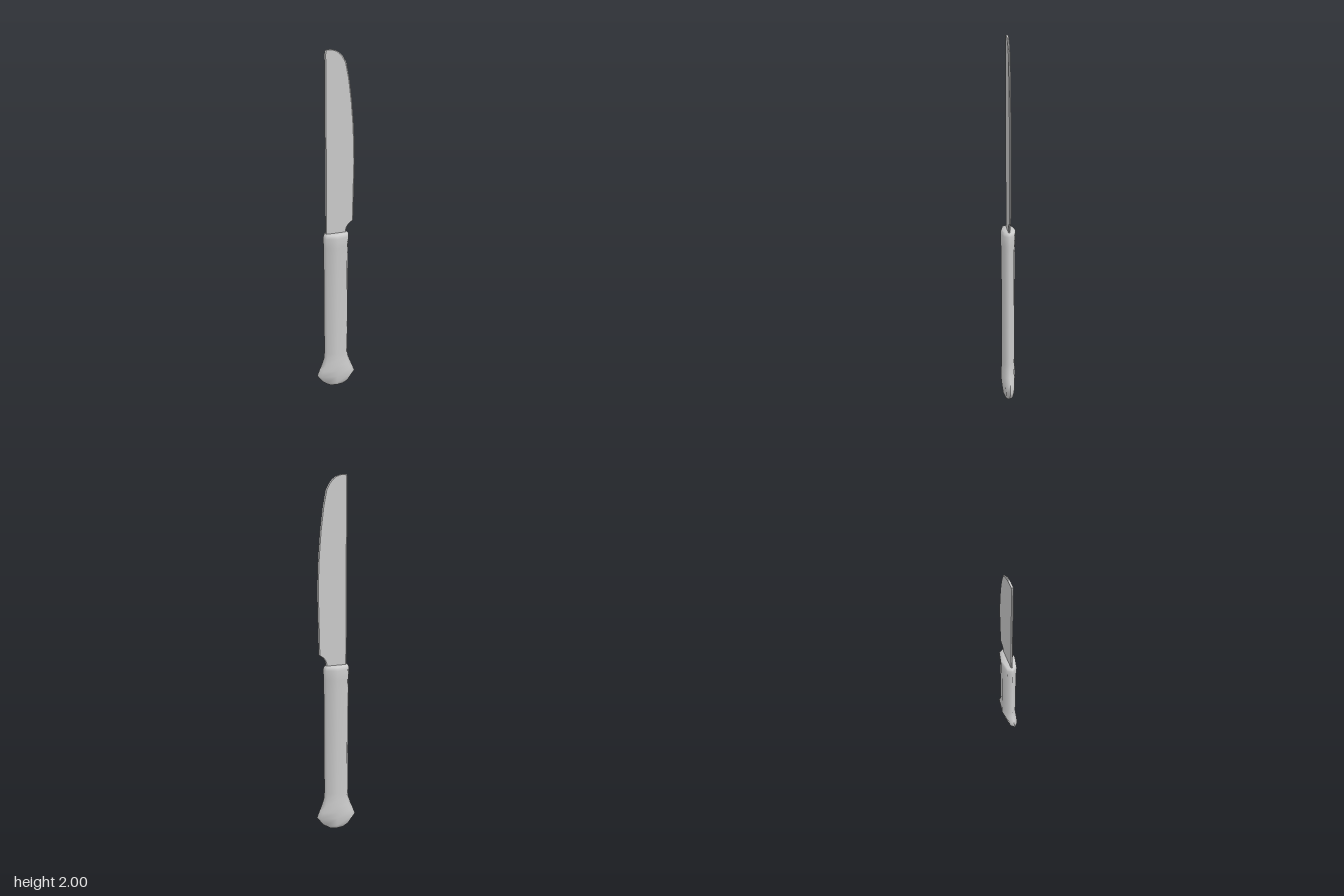
import * as THREE from 'three';
import { toCreasedNormals } from 'three/addons/utils/BufferGeometryUtils.js';

const material = new THREE.MeshStandardMaterial({ color: 0xcccccc });

// Skin a stack of closed rings (bottom to top) and cap both ends.
function loft(name, rings, crease) {
  const n = rings[0].length;
  const points = rings.flat(2);
  const index = [];
  for (let r = 0; r < rings.length - 1; r++) {
    for (let i = 0; i < n; i++) {
      const a = r * n + i, b = r * n + (i + 1) % n;
      index.push(a, b, b + n, a, b + n, a + n);
    }
  }
  const top = (rings.length - 1) * n;
  for (let i = 1; i < n - 1; i++) {
    index.push(0, i + 1, i, top, top + i, top + i + 1);
  }
  const geometry = new THREE.BufferGeometry();
  geometry.setAttribute('position', new THREE.Float32BufferAttribute(points, 3));
  geometry.setIndex(index);
  const mesh = new THREE.Mesh(toCreasedNormals(geometry, crease), material);
  mesh.name = name;
  return mesh;
}

// Eight-sided flattened section of the handle: half width w, half depth d.
function handleRing([y, w, d]) {
  const sx = w * 0.82, sz = d * 0.65;
  return [[w, y, 0], [sx, y, -sz], [0, y, -d], [-sx, y, -sz],
    [-w, y, 0], [-sx, y, sz], [0, y, d], [sx, y, sz]];
}

// Thin blade section from spine x to cutting-edge x, with bevelled borders.
function bladeRing([y, spine, edge]) {
  const t = 0.005, b = 0.006;
  return [[edge, y, 0], [edge - b, y, -t], [spine + b, y, -t],
    [spine, y, 0], [spine + b, y, t], [edge - b, y, t]];
}

export function createModel() {
  const group = new THREE.Group();
  group.name = 'tableKnife';

  // Handle: rounded butt, flared pommel, straight grip, bevelled shoulder
  const handle = [
    [0.003, 0.025, 0.012], [0.01, 0.045, 0.02], [0.03, 0.075, 0.027],
    [0.08, 0.108, 0.034], [0.12, 0.095, 0.038], [0.16, 0.08, 0.039],
    [0.2, 0.069, 0.037], [0.24, 0.066, 0.036], [0.88, 0.066, 0.036],
    [0.93, 0.067, 0.039], [0.985, 0.069, 0.04], [0.997, 0.066, 0.038],
    [1.004, 0.058, 0.034],
  ];
  group.add(loft('handle', handle.map(handleRing), 1.1));

  // Blade: straight spine, notch at the heel, curved edge and rounded tip
  const blade = [
    [0.98, -0.056, 0.055], [1.015, -0.056, 0.055], [1.035, -0.056, 0.061],
    [1.05, -0.056, 0.07], [1.068, -0.056, 0.092], [1.2, -0.056, 0.094],
    [1.4, -0.056, 0.097], [1.5, -0.056, 0.095], [1.6, -0.056, 0.091],
    [1.73, -0.056, 0.081], [1.85, -0.056, 0.067], [1.93, -0.056, 0.052],
    [1.96, -0.056, 0.037], [1.98, -0.056, 0.021], [1.993, -0.055, 0.004],
    [2, -0.05, -0.018],
  ];
  group.add(loft('blade', blade.map(bladeRing), 0.6));
  return group;
}
